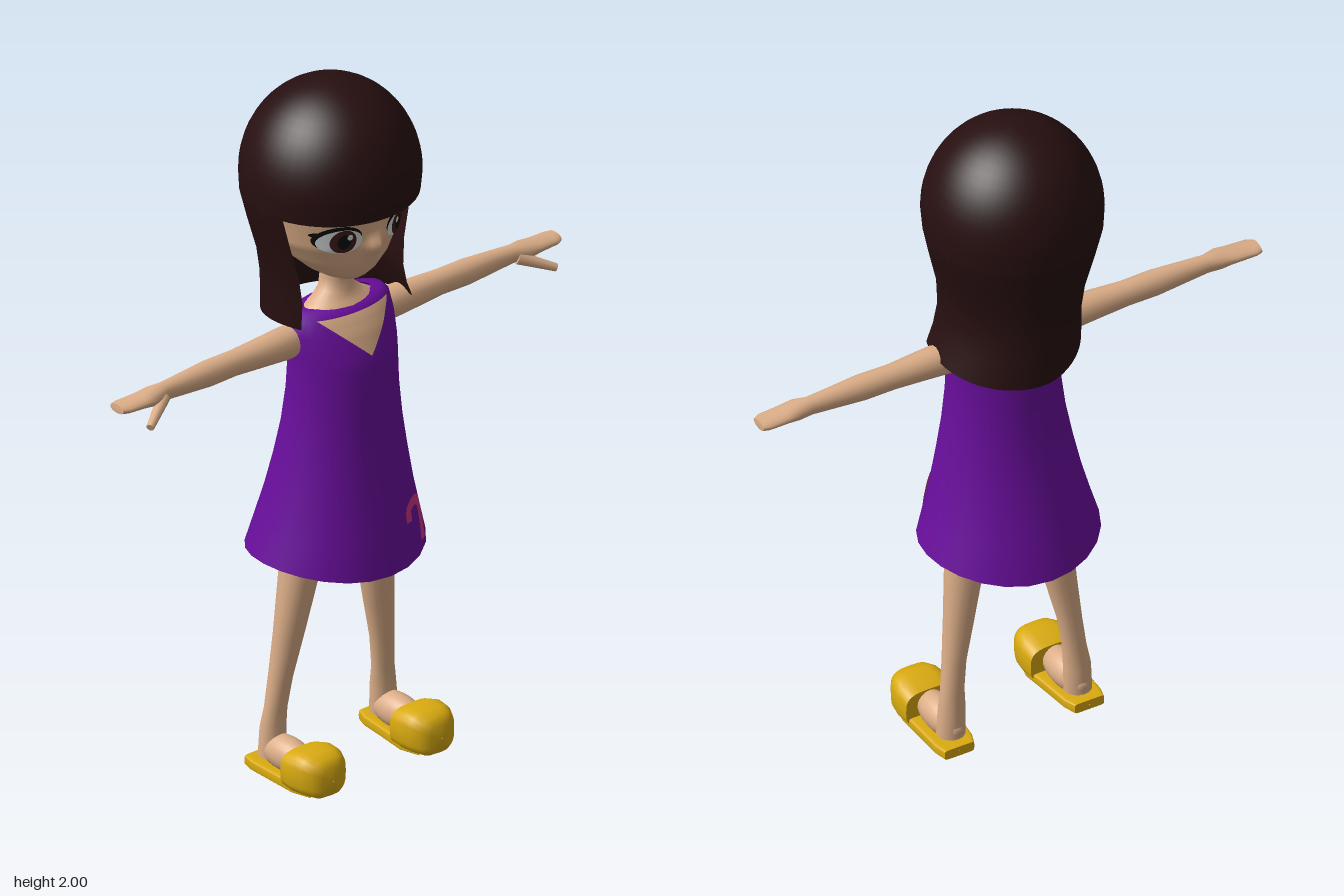
import * as THREE from 'three';

const mat = (name, color, side = THREE.FrontSide) => {
  const m = new THREE.MeshStandardMaterial({ color, side });
  m.name = name;
  return m;
};

// Grid surface: u runs to the right and v upwards when seen from outside
function grid(nu, nv, fn, closed = false) {
  const pos = [], idx = [], cols = closed ? nu : nu + 1;
  for (let j = 0; j <= nv; j++)
    for (let i = 0; i < cols; i++) pos.push(...fn(i / nu, j));
  for (let j = 0; j < nv; j++)
    for (let i = 0; i < nu; i++) {
      const k = (i + 1) % cols;
      const a = j * cols + i, b = j * cols + k, c = b + cols, d = a + cols;
      idx.push(a, b, c, a, c, d);
    }
  const g = new THREE.BufferGeometry();
  g.setAttribute('position', new THREE.Float32BufferAttribute(pos, 3));
  g.setIndex(idx);
  g.computeVertexNormals();
  return g;
}

// Stacked cross-sections; row = [height, half width, front z, back z, centre x]
// A repeated row makes a crease. power < 1 squares the section off.
function loft(rows, { segs = 24, power = 1, arc = null, tweak = null } = {}) {
  const pw = (v) => Math.sign(v) * Math.abs(v) ** power;
  return grid(segs, rows.length - 1, (u, j) => {
    const [y, w, f, b, cx = 0] = rows[j];
    const t = arc ? arc[0] + (arc[1] - arc[0]) * u : u * Math.PI * 2;
    const p = [cx + w * pw(Math.sin(t)), y, (f + b) / 2 + ((f - b) / 2) * pw(Math.cos(t))];
    if (tweak) tweak(p, j);
    return p;
  }, !arc);
}

// Cross-section of a row list at height y
function rowAt(rows, y) {
  let i = 0;
  while (i < rows.length - 2 && rows[i + 1][0] < y) i++;
  const k = THREE.MathUtils.clamp((y - rows[i][0]) / (rows[i + 1][0] - rows[i][0]), 0, 1);
  return rows[i].map((v, n) => v + (rows[i + 1][n] - v) * k);
}
function surfaceZ(rows, x, y, dir = 1) {
  const [, w, f, b] = rowAt(rows, y);
  return (f + b) / 2 + (dir * (f - b) / 2) * Math.sqrt(Math.max(0, 1 - (x / w) ** 2));
}

const HEAD = [
  [1.44, 0.015, 0.095, 0.04], [1.455, 0.06, 0.122, -0.02], [1.48, 0.098, 0.145, -0.07], [1.52, 0.14, 0.165, -0.12],
  [1.58, 0.18, 0.178, -0.16], [1.66, 0.203, 0.187, -0.19], [1.75, 0.21, 0.19, -0.2],
  [1.85, 0.17, 0.16, -0.16], [1.92, 0.06, 0.07, -0.05],
];
const DRESS = [
  [0.64, 0.252, 0.25, -0.21], [0.72, 0.23, 0.233, -0.178], [0.8, 0.21, 0.22, -0.153], [0.9, 0.19, 0.206, -0.126],
  [1.0, 0.173, 0.194, -0.104], [1.1, 0.162, 0.186, -0.09], [1.2, 0.161, 0.177, -0.078],
  [1.24, 0.164, 0.166, -0.073], [1.3, 0.168, 0.14, -0.06], [1.345, 0.163, 0.112, -0.045],
  [1.36, 0.148, 0.092, -0.034], [1.362, 0.11, 0.075, -0.02],
];
const nose = (x, y) => 0.032 * Math.exp(-((x / 0.022) ** 2) - ((y - 1.575) / 0.03) ** 2);

export function createModel() {
  const root = new THREE.Group();
  const skin = mat('skin', 0xdcae88, THREE.DoubleSide);
  const hair = mat('dark hair', 0x270f10, THREE.DoubleSide);
  const purple = mat('purple cloth', 0x690e9c, THREE.DoubleSide);
  const yellow = mat('yellow shoe', 0xdaab10);
  const pink = mat('pink print', 0xc83280, THREE.DoubleSide);
  const white = mat('eye white', 0xd8dcdc, THREE.DoubleSide);
  const brown = mat('iris brown', 0x40191a, THREE.DoubleSide);
  const black = mat('lash black', 0x0c0808, THREE.DoubleSide);
  const add = (name, geo, material, parent = root) => {
    const m = new THREE.Mesh(geo, material);
    m.name = name;
    parent.add(m);
    return m;
  };

  // Head with a small pointed nose
  const headRows = Array.from({ length: 49 }, (_, i) => rowAt(HEAD, 1.44 + i * 0.01));
  add('head', loft(headRows, {
    segs: 64,
    tweak: (p) => { if (p[2] > 0.05) p[2] += nose(p[0], p[1]); },
  }), skin);
  add('neck', loft([
    [1.335, 0.128, 0.115, -0.045], [1.352, 0.118, 0.1, -0.035], [1.37, 0.085, 0.083, -0.025],
    [1.395, 0.053, 0.068, -0.02], [1.43, 0.045, 0.064, -0.02], [1.5, 0.045, 0.064, -0.02],
  ]), skin);

  // Eyes, laid on the curve of the face
  for (const s of [-1, 1]) {
    const eye = new THREE.Group();
    eye.name = s > 0 ? 'leftEye' : 'rightEye';
    root.add(eye);
    const disc = (name, x, y, rx, ry, lift, material) => {
      const g = new THREE.RingGeometry(0, 1, 32, 4);
      const p = g.attributes.position;
      for (let i = 0; i < p.count; i++) {
        const px = s * x + p.getX(i) * rx, py = y + p.getY(i) * ry;
        p.setXYZ(i, px, py, surfaceZ(HEAD, px, py) + lift);
      }
      g.computeVertexNormals();
      add(name, g, material, eye);
    };
    disc('lashLine', 0.101, 1.614, 0.058, 0.04, 0.003, black);
    disc('outerLash', 0.152, 1.628, 0.013, 0.007, 0.003, black);
    disc('eyeWhite', 0.098, 1.607, 0.054, 0.037, 0.006, white);
    disc('iris', 0.094, 1.608, 0.032, 0.036, 0.008, brown);
    disc('pupil', 0.094, 1.608, 0.016, 0.022, 0.01, black);
    disc('glint', 0.082, 1.622, 0.007, 0.009, 0.012, white);
  }

  // Hair: a dome with a straight fringe, and a long curtain open at the front
  const dome = [[1.68, 0.242, 0.24, -0.244]];
  for (let i = 0; i <= 14; i++) {
    const a = (i / 14) * Math.PI / 2, r = Math.max(0.001, 0.246 * Math.cos(a));
    dome.push([1.735 + 0.265 * Math.sin(a), r, r, -r]);
  }
  add('hairDome', loft(dome, { segs: 48 }), hair);
  add('hairCurtain', loft([
    [1.3, 0.205, 0.23, -0.212, 0.025], [1.36, 0.194, 0.235, -0.208, 0.012], [1.42, 0.186, 0.24, -0.206, 0.004],
    [1.5, 0.195, 0.24, -0.21, 0], [1.6, 0.222, 0.24, -0.23, 0], [1.68, 0.242, 0.24, -0.244, 0],
    [1.72, 0.244, 0.24, -0.244, 0],
  ], {
    segs: 36, arc: [1.25, Math.PI * 2 - 1.25],
    tweak: (p, j) => { if (j === 0) p[1] += 0.1 * p[2] + Math.max(0, -p[0]) * 0.16; },
  }), hair);

  // Dress with a hem that dips at front and back
  add('dress', loft(DRESS, {
    tweak: (p, j) => { if (j === 0) p[1] -= 0.032 * ((p[2] - 0.02) / 0.23) ** 2; },
  }), purple);
  const neckline = (dir, width, low) => grid(12, 10, (u, j) => {
    const x = dir * (2 * u - 1) * width * (j / 10), y = low + (1.348 - low) * (j / 10);
    return [x, y, surfaceZ(DRESS, x, y, dir) + dir * 0.005];
  });
  add('frontNeckline', neckline(1, 0.122, 1.238), skin);
  add('backNeckline', neckline(-1, 0.075, 1.275), skin);

  // Hooked ribbon print near the hem
  const path = new THREE.CatmullRomCurve3([
    [0.088, 0.728], [0.092, 0.762], [0.122, 0.773], [0.15, 0.757], [0.155, 0.71], [0.147, 0.655],
  ].map(([x, y]) => new THREE.Vector3(x, y, 0)));
  add('ribbonPrint', grid(2, 30, (u, j) => {
    const p = path.getPoint(j / 30), t = path.getTangent(j / 30), o = (u - 0.5) * 0.026;
    const x = p.x + t.y * o, y = p.y - t.x * o;
    return [x, y, surfaceZ(DRESS, x, y) + 0.006];
  }), pink);

  for (const s of [-1, 1]) {
    const side = s > 0 ? 'left' : 'right';
    const mirror = (rows) => rows.map(([y, w, f, b, cx = 0]) => [y, w, f, b, cx * s]);

    // Arm and flat hand, held straight out
    const arm = loft([
      [0.12, 0.04, 0.06, -0.01], [0.18, 0.047, 0.07, -0.02], [0.27, 0.041, 0.065, -0.015], [0.36, 0.036, 0.058, -0.01],
      [0.45, 0.037, 0.06, -0.01], [0.54, 0.031, 0.054, -0.003], [0.61, 0.026, 0.05, 0.002],
      [0.65, 0.027, 0.062, -0.004], [0.69, 0.018, 0.063, -0.008], [0.75, 0.014, 0.06, -0.01],
      [0.768, 0.013, 0.05, -0.004], [0.768, 0.013, 0.05, -0.004], [0.769, 0.001, 0.026, 0.024],
    ], { segs: 16 });
    arm.rotateZ(-s * Math.PI / 2);
    arm.translate(0, 1.28, 0);
    add(side + 'Arm', arm, skin);
    const a = new THREE.Vector3(s * 0.62, 1.272, 0.042), b = new THREE.Vector3(s * 0.712, 1.232, 0.094);
    const thumb = add(side + 'Thumb', new THREE.CylinderGeometry(0.011, 0.018, a.distanceTo(b), 10), skin);
    thumb.position.copy(a).lerp(b, 0.5);
    thumb.quaternion.setFromUnitVectors(new THREE.Vector3(0, 1, 0), b.clone().sub(a).normalize());

    // Leg, with the shorts hidden under the skirt
    add(side + 'Leg', loft(mirror([
      [0.04, 0.04, 0.03, -0.048, 0.195], [0.12, 0.039, 0.022, -0.042, 0.193], [0.18, 0.034, 0.024, -0.033, 0.188],
      [0.27, 0.034, 0.036, -0.03, 0.178], [0.4, 0.044, 0.054, -0.028, 0.157],
      [0.6, 0.058, 0.084, -0.03, 0.128], [0.72, 0.062, 0.095, -0.04, 0.115],
    ]), { segs: 16 }), skin);
    add(side + 'ShortsLeg', loft(mirror([
      [0.72, 0.064, 0.097, -0.042, 0.115], [0.88, 0.075, 0.12, -0.06, 0.085], [0.89, 0.001, 0.03, 0.028, 0.085],
    ]), { segs: 16 }), purple);

    // Foot, sole and toe cap, stacked along z
    const foot = add(side + 'Foot', new THREE.SphereGeometry(1, 20, 14), skin);
    foot.scale.set(0.046, 0.05, 0.1);
    foot.position.set(s * 0.193, 0.062, 0.05);
    const alongZ = (rows, power) => loft(mirror(rows), { segs: 24, power }).rotateX(Math.PI / 2);
    add(side + 'Sole', alongZ([
      [-0.065, 0.001, -0.014, -0.016, 0.2], [-0.065, 0.045, 0, -0.03, 0.2], [-0.065, 0.045, 0, -0.03, 0.2],
      [-0.03, 0.056, 0, -0.03, 0.198], [0.06, 0.062, 0, -0.03, 0.194], [0.14, 0.068, 0, -0.03, 0.19],
      [0.2, 0.05, 0, -0.03, 0.19],
    ], 0.25), yellow);
    add(side + 'ToeCap', alongZ([
      [0.105, 0.001, -0.05, -0.052, 0.192], [0.105, 0.074, 0, -0.108, 0.192], [0.105, 0.074, 0, -0.108, 0.192],
      [0.145, 0.081, 0, -0.12, 0.192], [0.185, 0.075, 0, -0.12, 0.191], [0.215, 0.06, 0, -0.112, 0.19],
      [0.232, 0.035, -0.01, -0.09, 0.19], [0.235, 0.001, -0.049, -0.051, 0.19],
    ], 0.6), yellow);
  }
  return root;
}
